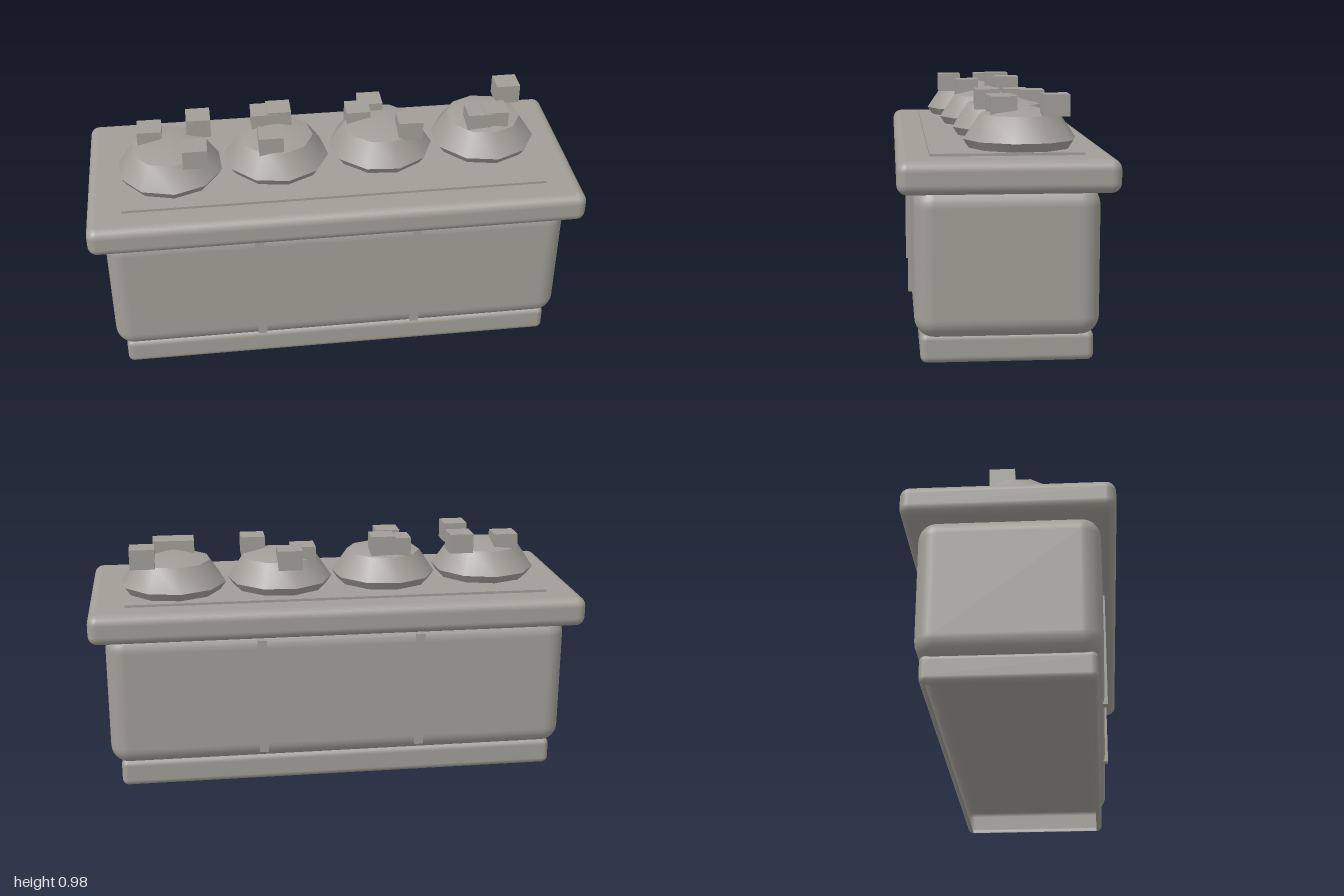
import * as THREE from 'three';
import { toCreasedNormals } from 'three/addons/utils/BufferGeometryUtils.js';
import { RoundedBoxGeometry } from 'three/addons/geometries/RoundedBoxGeometry.js';

const stone = new THREE.MeshStandardMaterial({ color: 0xa09e96, side: THREE.DoubleSide });
stone.name = 'stone grey';

function add(parent, name, geometry, x, y, z) {
  const mesh = new THREE.Mesh(geometry, stone);
  mesh.name = name;
  mesh.position.set(x, y, z);
  parent.add(mesh);
  return mesh;
}

// Removes the flat underside of a box, leaving it hollow from below
function openBottom(geometry) {
  const src = geometry.toNonIndexed ? (geometry.index ? geometry.toNonIndexed() : geometry) : geometry;
  const p = src.attributes.position, n = src.attributes.normal;
  src.computeBoundingBox();
  const floor = src.boundingBox.min.y + 1e-4;
  const pos = [], nor = [];
  for (let i = 0; i < p.count; i += 3) {
    if ([0, 1, 2].every((k) => p.getY(i + k) < floor)) continue;
    for (let k = 0; k < 3; k++) {
      pos.push(p.getX(i + k), p.getY(i + k), p.getZ(i + k));
      nor.push(n.getX(i + k), n.getY(i + k), n.getZ(i + k));
    }
  }
  const out = new THREE.BufferGeometry();
  out.setAttribute('position', new THREE.Float32BufferAttribute(pos, 3));
  out.setAttribute('normal', new THREE.Float32BufferAttribute(nor, 3));
  return out;
}

// Each shrub: centre x, z, turn in degrees, and blossoms as [x, top y, z]
const shrubs = [
  { x: -0.66, z: 0.023, turn: 21, blossoms: [[-0.735, 0.955, -0.035], [-0.535, 0.97, -0.078], [-0.557, 0.965, 0.142]] },
  { x: -0.222, z: -0.015, turn: 27, blossoms: [[-0.268, 0.967, -0.09], [-0.203, 0.975, -0.093], [-0.25, 0.96, 0.078]] },
  { x: 0.218, z: -0.045, turn: 31, blossoms: [[0.128, 0.945, -0.1], [0.188, 0.945, -0.162], [0.325, 0.96, 0.032]] },
  { x: 0.657, z: -0.065, turn: 25, blossoms: [[0.618, 0.96, 0.006], [0.688, 0.962, 0], [0.78, 0.975, -0.183]] },
];

export function createModel() {
  const model = new THREE.Group();
  model.name = 'planter';

  // Trough
  add(model, 'base', openBottom(new RoundedBoxGeometry(1.8, 0.112, 0.638, 3, 0.025)), 0, 0.056, 0);
  add(model, 'body', new RoundedBoxGeometry(1.88, 0.56, 0.68, 4, 0.075), 0, 0.375, 0);
  add(model, 'rim', new RoundedBoxGeometry(2, 0.122, 0.8, 4, 0.038), 0, 0.696, 0);
  add(model, 'soil', new THREE.BoxGeometry(1.715, 0.04, 0.564), -0.003, 0.747, -0.003);

  // Upright ribs on front and back
  for (const x of [-0.326, 0.318]) {
    for (const side of [1, -1]) {
      add(model, 'rib', new THREE.BoxGeometry(0.036, 0.482, 0.03), x, 0.378, side * 0.338);
    }
  }

  // Shrubs with square blossoms
  const dome = new THREE.SphereGeometry(0.216, 10, 4);
  dome.scale(1, 0.13 / 0.216, 1);
  const domeGeometry = toCreasedNormals(dome, THREE.MathUtils.degToRad(35));
  const blossomGeometry = new THREE.BoxGeometry(0.099, 0.08, 0.099);
  for (const s of shrubs) {
    const group = new THREE.Group();
    group.name = 'shrub';
    add(group, 'foliage', domeGeometry, s.x, 0.8, s.z).rotation.y = THREE.MathUtils.degToRad(s.turn);
    for (const [x, top, z] of s.blossoms) {
      add(group, 'blossom', blossomGeometry, x, top - 0.04, z);
    }
    model.add(group);
  }
  return model;
}
